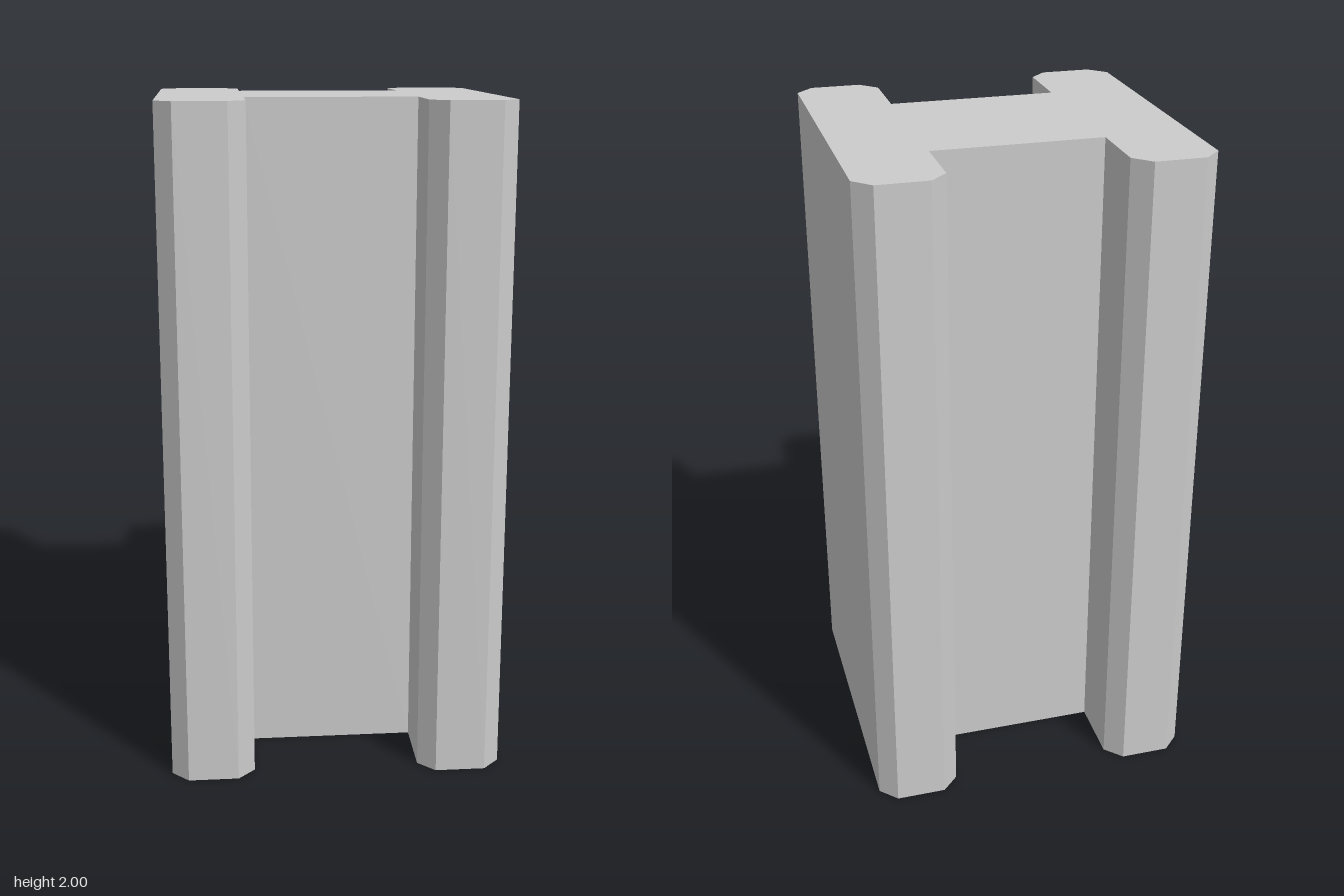
import * as THREE from 'three';

const HEIGHT = 2;

// One quarter of the H-shaped section, from the outer side to the web
const quarter = [[0.5, 0.45], [0.45, 0.5], [0.3, 0.5], [0.25, 0.45], [0.25, 0.25]];

// Mirror the quarter into the full outline, counter-clockwise
function sectionShape() {
  const mirrored = (sx, sy) => quarter.map(([x, y]) => new THREE.Vector2(x * sx, y * sy));
  return new THREE.Shape([
    ...mirrored(1, 1),
    ...mirrored(-1, 1).reverse(),
    ...mirrored(-1, -1),
    ...mirrored(1, -1).reverse(),
  ]);
}

export function createModel() {
  const group = new THREE.Group();
  group.name = 'column';

  // H-section column with chamfered flange edges, extruded upward
  const geometry = new THREE.ExtrudeGeometry(sectionShape(), { depth: HEIGHT, bevelEnabled: false });
  geometry.rotateX(-Math.PI / 2);

  const material = new THREE.MeshStandardMaterial({ color: 0xcccccc, flatShading: true });
  const beam = new THREE.Mesh(geometry, material);
  beam.name = 'hSectionBeam';
  group.add(beam);
  return group;
}
